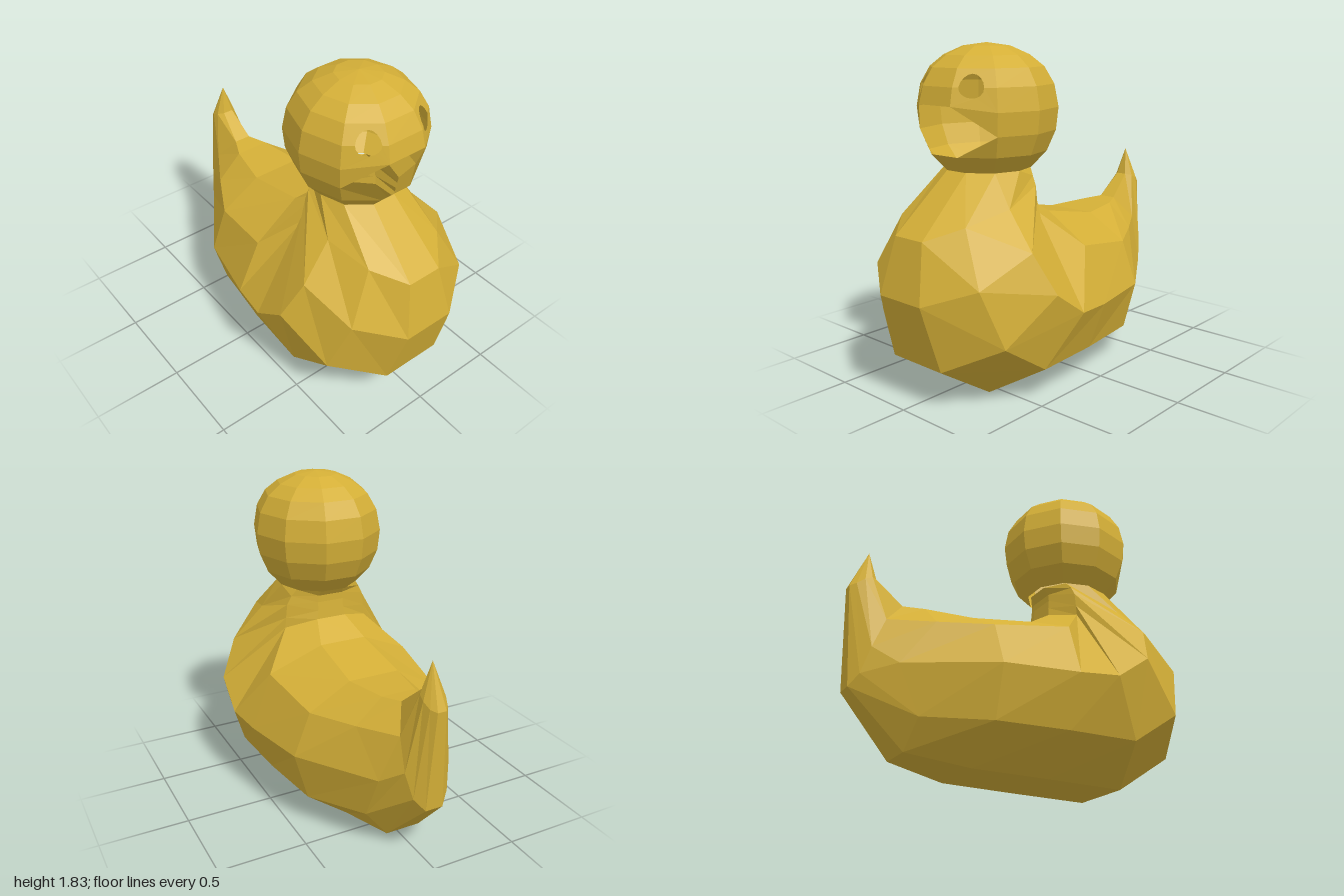
import * as THREE from 'three';

const V = (x, y, z) => new THREE.Vector3(x, y, z);

// Collects faceted triangles into a mesh
function facets(name, material, build) {
  const pos = [];
  const tri = (a, b, c) => {
    if (a.distanceTo(b) < 1e-5 || b.distanceTo(c) < 1e-5 || a.distanceTo(c) < 1e-5) return;
    for (const p of [a, b, c]) pos.push(p.x, p.y, p.z);
  };
  const quad = (a, b, c, d) => { tri(a, b, c); tri(a, c, d); };
  build(tri, quad);
  const geo = new THREE.BufferGeometry();
  geo.setAttribute('position', new THREE.Float32BufferAttribute(pos, 3));
  geo.computeVertexNormals();
  const mesh = new THREE.Mesh(geo, material);
  mesh.name = name;
  return mesh;
}

// Half cross-sections from the tail, through the chest, up to the neck.
// Each runs from the back line, around the left flank, to the belly line.
const TAIL = [
  [[0, 1.14, -0.9], [0, 1.14, -0.9], [0, 1.14, -0.9], [0, 1.14, -0.9], [0, 1.14, -0.9]],
  [[0.03, 0.98, -0.86], [0.06, 0.97, -0.89], [0.065, 0.95, -0.93], [0.05, 0.92, -0.97], [0.025, 0.91, -1]],
  [[0.05, 0.85, -0.71], [0.12, 0.72, -0.82], [0.13, 0.55, -0.89], [0.1, 0.41, -0.93], [0.05, 0.35, -0.97]],
  [[0.1, 0.84, -0.6], [0.25, 0.705, -0.6], [0.21, 0.46, -0.77], [0.22, 0.2, -0.66], [0.1, 0.05, -0.68]],
];
const TRUNK = [
  [[0.15, 0.83, -0.34], [0.39, 0.695, -0.34], [0.485, 0.455, -0.34], [0.41, 0.18, -0.34], [0.17, 0, -0.34]],
  [[0.14, 0.9, 0.03], [0.44, 0.76, 0.08], [0.565, 0.455, 0.06], [0.46, 0.18, 0.06], [0.18, 0, 0.1]],
  [[0.09, 1.0, 0.18], [0.26, 0.95, 0.26], [0.595, 0.47, 0.28], [0.48, 0.18, 0.45], [0.18, 0, 0.56]],
];
const CHEST = [
  [[0.08, 1.05, 0.185], [0.255, 1.01, 0.26], [0.585, 0.61, 0.48], [0.475, 0.37, 0.74], [0.18, 0.22, 0.9]],
  [[0.08, 1.1, 0.19], [0.245, 1.09, 0.26], [0.48, 0.82, 0.55], [0.39, 0.67, 0.83], [0.15, 0.58, 1]],
  [[0.075, 1.14, 0.19], [0.22, 1.14, 0.255], [0.3, 1.01, 0.52], [0.24, 0.95, 0.77], [0.1, 0.885, 0.93]],
  [[0.07, 1.18, 0.16], [0.19, 1.18, 0.24], [0.23, 1.18, 0.37], [0.19, 1.18, 0.51], [0.07, 1.18, 0.6]],
];

function makeBody(material) {
  const rings = [...TAIL, ...TRUNK, ...CHEST].map((half) => [
    ...half.map(([x, y, z]) => V(x, y, z)),
    ...half.slice().reverse().map(([x, y, z]) => V(-x, y, z)),
  ]);
  return facets('body', material, (tri, quad) => {
    for (let i = 0; i < rings.length - 1; i++) {
      for (let j = 0; j < 10; j++) {
        const k = (j + 1) % 10;
        quad(rings[i][j], rings[i + 1][j], rings[i + 1][k], rings[i][k]);
      }
    }
  });
}

// Ten-sided hollow head with an open beak and two open eye holes
function makeHead(material) {
  const levels = [[1.18, 0.62], [1.27, 0.84], [1.38, 0.965], [1.5, 1], [1.62, 0.94],
    [1.71, 0.8], [1.77, 0.6], [1.815, 0.33], [1.832, 0]];
  const P = (i, k) => {
    k %= 10;
    const a = THREE.MathUtils.degToRad(18 + 36 * k);
    const [y, r] = levels[i];
    const lift = i === 3 && (k === 0 || k === 9) ? 0.028 : 0; // upper beak edge
    return V(Math.sin(a) * r * 0.37, y + lift, 0.37 + Math.cos(a) * r * 0.389);
  };

  return facets('head', material, (tri, quad) => {
    // One panel with half of an eye hole cut out of its top or bottom edge
    const eyePanel = (i, k, centre, depth, upper) => {
      const pts = [[0, 0], [1, 0], [1, 1]];
      for (let s = 0; s <= 8; s++) {
        const t = (s / 8) * Math.PI;
        pts.push([centre + 0.29 * Math.cos(t), 1 - depth * Math.sin(t)]);
      }
      pts.push([0, 1]);
      const outline = pts.map(([u, v]) => new THREE.Vector2(u, upper ? 1 - v : v));
      if (upper) outline.reverse();
      const at = ({ x, y }) => P(i, k).lerp(P(i, k + 1), x)
        .lerp(P(i + 1, k).lerp(P(i + 1, k + 1), x), y);
      for (const [a, b, c] of THREE.ShapeUtils.triangulateShape(outline, [])) {
        tri(at(outline[a]), at(outline[b]), at(outline[c]));
      }
    };

    for (let i = 0; i < levels.length - 1; i++) {
      for (let k = 0; k < 10; k++) {
        const beak = i === 1 || i === 2;
        const eye = i === 3 || i === 4;
        if (beak && k === 9) continue; // open mouth
        if (beak && k === 0) {
          if (i === 1) tri(P(1, 0), P(1, 1), P(2, 1));
          else tri(P(2, 1), P(3, 1), P(3, 0));
        } else if (beak && k === 8) {
          if (i === 1) tri(P(1, 8), P(1, 9), P(2, 8));
          else tri(P(2, 8), P(3, 9), P(3, 8));
        } else if (eye && (k === 0 || k === 8)) {
          eyePanel(i, k, k === 0 ? 0.43 : 0.57, i === 3 ? 0.5 : 0.72, i === 4);
        } else {
          quad(P(i, k), P(i, k + 1), P(i + 1, k + 1), P(i + 1, k));
        }
      }
    }
  });
}

export function createModel() {
  const gold = new THREE.MeshStandardMaterial({ color: 0xd4af37, flatShading: true, side: THREE.DoubleSide });
  gold.name = 'gold';
  const duck = new THREE.Group();
  duck.name = 'duck';
  duck.add(makeBody(gold), makeHead(gold));
  return duck;
}
